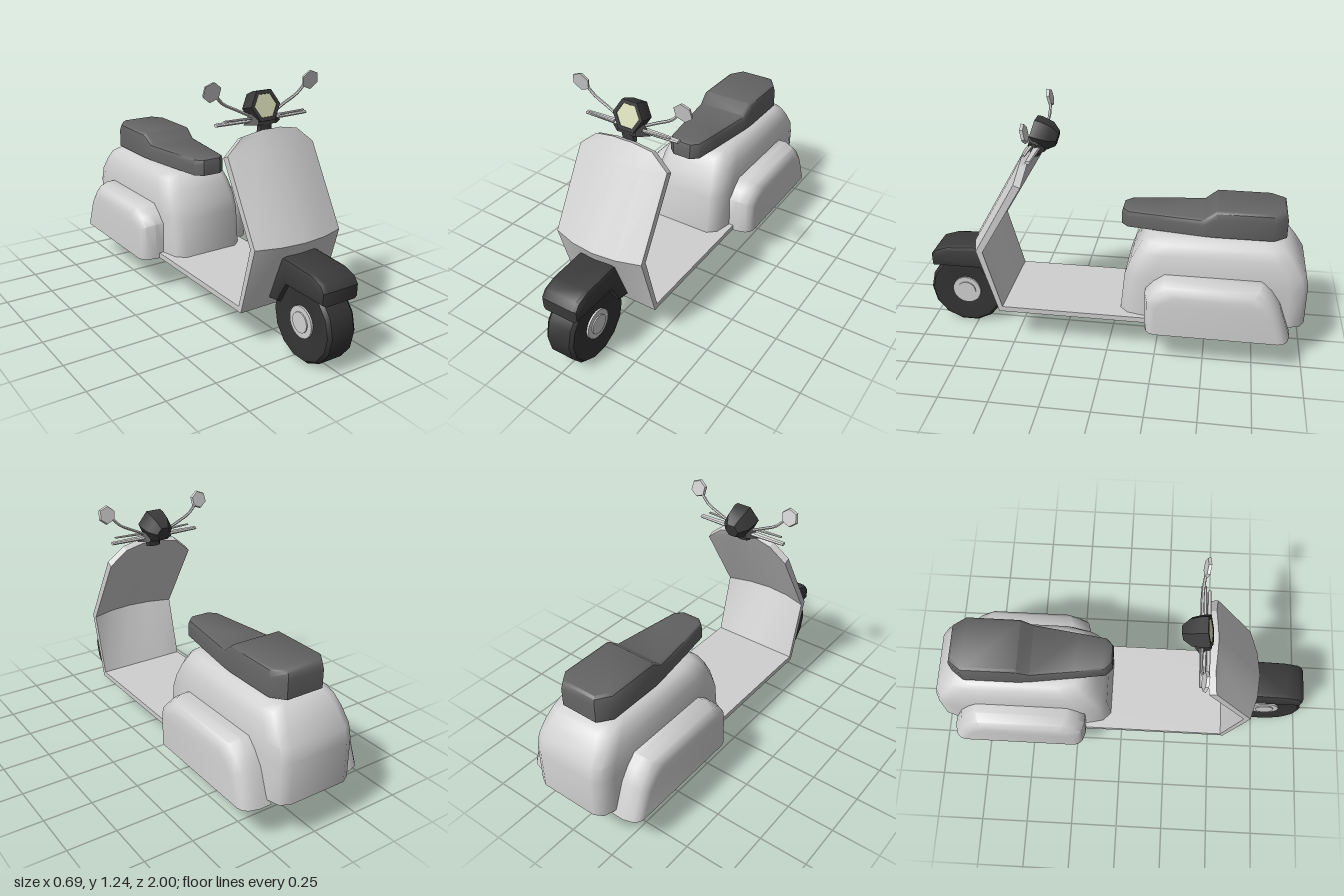
import * as THREE from 'three';
import { toCreasedNormals } from 'three/addons/utils/BufferGeometryUtils.js';

const mat = (name, color, side = THREE.FrontSide) => {
  const m = new THREE.MeshStandardMaterial({ color, side });
  m.name = name;
  return m;
};

// Skin a list of equal-length rings; caps join point i to point n-1-i.
function loft(rings, { wrap = true, capStart = false, capEnd = true } = {}) {
  const n = rings[0].length, idx = [];
  const quad = (a, b, c, d) => idx.push(a, b, c, a, c, d);
  for (let r = 0; r < rings.length - 1; r++) {
    for (let i = 0; i < (wrap ? n : n - 1); i++) {
      const j = (i + 1) % n;
      quad(r * n + i, r * n + j, (r + 1) * n + j, (r + 1) * n + i);
    }
  }
  const top = (rings.length - 1) * n;
  for (let i = 0; i < n / 2 - 1; i++) {
    if (capEnd) quad(top + i, top + i + 1, top + n - 2 - i, top + n - 1 - i);
    if (capStart) quad(n - 1 - i, n - 2 - i, i + 1, i);
  }
  const g = new THREE.BufferGeometry();
  g.setAttribute('position', new THREE.Float32BufferAttribute(rings.flat(2), 3));
  g.setIndex(idx);
  return g;
}

// Complete a half ring with its x-mirrored points.
const mirrored = half => [...half, ...half.map(([x, y, z]) => [-x, y, z]).reverse()];

export function createModel() {
  const root = new THREE.Group();
  root.name = 'scooter';
  const paint = mat('bodyPaint', 0xd0d0d0, THREE.DoubleSide);
  const metal = mat('brightMetal', 0xd2d2d2);
  const rubber = mat('blackRubber', 0x343434);
  const trim = mat('darkTrim', 0x3a3a3a);
  const leather = mat('seatLeather', 0x646464, THREE.DoubleSide);
  const glass = mat('lampGlass', 0xdcdfba);

  const add = (name, geo, material, parent = root, crease = 0.6) => {
    const m = new THREE.Mesh(toCreasedNormals(geo, crease), material);
    m.name = name;
    parent.add(m);
    return m;
  };

  // Rear body: rounded shell, open below
  const body = [
    [0.22, -0.06, -1.0, 0.22], [0.43, -0.08, -1.0, 0.22], [0.5, -0.105, -0.985, 0.217],
    [0.57, -0.14, -0.94, 0.207], [0.625, -0.175, -0.9, 0.19], [0.65, -0.205, -0.86, 0.165],
    [0.662, -0.25, -0.81, 0.135],
  ].map(([y, zf, zb, w]) => mirrored([
    [w - 0.065, y, zf], [w - 0.02, y, zf - 0.04], [w, y, zf - 0.13],
    [w, y, zb + 0.09], [w - 0.02, y, zb + 0.025], [w - 0.065, y, zb],
  ]));
  add('rearBody', loft(body), paint, root, 0.8);

  // Side pods
  const podFront = [[0.195, -0.195], [0.39, -0.195], [0.435, -0.235], [0.475, -0.29]];
  const podBack = [[0.475, -0.77], [0.43, -0.82], [0.365, -0.865], [0.195, -0.925]];
  for (const s of [1, -1]) {
    const rings = [[0.2, 0], [0.265, 0], [0.315, 0.015], [0.335, 0.035], [0.343, 0.06]].map(([x, d]) => {
      const y = v => 0.195 + (v - 0.195) * (1 - d / 0.28);
      return [
        ...podFront.map(([v, z]) => [s * x, y(v), z - d]),
        ...podBack.map(([v, z]) => [s * x, y(v), z + d]),
      ];
    });
    add(s > 0 ? 'leftPod' : 'rightPod', loft(rings, { wrap: false }), paint, root, 0.75);
  }

  // Floorboard and bowed leg shield as one bent plate:
  // front z, front y, back z, back y, half width, bow
  const cols = [-1, -0.5, 0, 0.5, 1];
  const plate = [
    [-0.25, 0.197, -0.25, 0.225, 0.245, 0], [0.57, 0.197, 0.552, 0.225, 0.245, 0],
    [0.722, 0.545, 0.688, 0.54, 0.245, 0.05], [0.506, 0.925, 0.472, 0.91, 0.245, 0.05],
    [0.463, 1.0, 0.429, 0.985, 0.155, 0.05], [0.452, 1.02, 0.418, 1.005, 0.05, 0.05],
  ].map(([fz, fy, bz, by, w, bow]) => {
    const line = (z, y) => cols.map(c => [c * w, y, z - bow * (c * w / 0.245) ** 2]);
    return [...line(fz, fy), ...line(bz, by).reverse()];
  });
  add('legShieldAndFloor', loft(plate, { capStart: true }), paint, root, 0.45);

  // Stepped saddle
  const outline = [[0.05, -0.05], [0.088, -0.085], [0.108, -0.22], [0.143, -0.465],
    [0.15, -0.53], [0.15, -0.81], [0.1, -0.877]];
  const seat = [[0, 0.87], [0.025, 1], [0.7, 1], [0.93, 0.95], [1, 0.86]].map(([t, k]) =>
    mirrored(outline.map(([x, z]) => {
      const h = z > -0.5 ? 0.752 : 0.8;
      return [x * k, 0.662 + (h - 0.662) * t, -0.46 + (z + 0.46) * (0.7 + 0.3 * k)];
    })));
  add('seat', loft(seat, { capStart: true }), leather, root, 0.7);

  // Wheels
  const wheel = (name, y, z, r, hubR) => {
    const g = new THREE.Group();
    g.name = name;
    g.position.set(0, y, z);
    g.rotation.z = Math.PI / 2;
    root.add(g);
    const half = [[0, 0.068], [hubR, 0.068], [r * 0.78, 0.08], [r * 0.93, 0.078], [r, 0.062]];
    const profile = [...half.map(([a, w]) => new THREE.Vector2(a, -w)),
      ...half.reverse().map(([a, w]) => new THREE.Vector2(a, w))];
    add('tyre', new THREE.LatheGeometry(profile, 14), rubber, g, 0.65);
    add('hub', new THREE.CylinderGeometry(hubR, hubR, 0.156, 24), metal, g);
    add('hubCap', new THREE.CylinderGeometry(hubR * 0.65, hubR * 0.65, 0.168, 20), metal, g);
  };
  wheel('frontWheel', 0.205, 0.8, 0.2, 0.077);
  wheel('rearWheel', 0.22, -0.59, 0.194, 0.108);

  // Front fender
  const side = new THREE.Shape([[0.58, 0.243], [0.655, 0.25], [0.715, 0.355], [0.975, 0.355],
    [0.977, 0.42], [0.95, 0.455], [0.88, 0.478], [0.7, 0.488], [0.67, 0.488]]
    .map(p => new THREE.Vector2(...p)));
  const fender = new THREE.ExtrudeGeometry(side, {
    depth: 0.16, bevelThickness: 0.025, bevelSize: 0.025, bevelOffset: -0.025, bevelSegments: 2,
  });
  fender.translate(0, 0, -0.08).rotateY(-Math.PI / 2);
  add('frontFender', fender, trim, root, 0.6);

  // Headlamp
  const lamp = new THREE.Group();
  lamp.name = 'headlamp';
  lamp.position.set(0, 1.103, 0.35);
  lamp.rotation.x = -0.27;
  root.add(lamp);
  const shell = [[0, -0.075], [0.04, -0.072], [0.074, -0.03], [0.084, 0.03], [0.082, 0.058],
    [0.062, 0.058], [0.058, 0.05], [0, 0.05]].map(p => new THREE.Vector2(...p));
  add('lampShell', new THREE.LatheGeometry(shell, 6, Math.PI / 6).rotateX(Math.PI / 2), trim, lamp, 0.5);
  add('lampLens', new THREE.CircleGeometry(0.061, 6).translate(0, 0, 0.056), glass, lamp);

  // Steering neck and clamp
  add('steeringNeck', new THREE.CylinderGeometry(0.042, 0.042, 0.06, 8).scale(1, 1, 0.55)
    .translate(0, 1.025, 0.395), trim);
  add('handlebarClamp', new THREE.CylinderGeometry(0.075, 0.105, 0.05, 6).rotateY(Math.PI / 6)
    .scale(1, 1, 0.45).translate(0, 1.057, 0.378), trim);

  // Handles, levers and mirrors on both sides
  for (const s of [1, -1]) {
    const g = new THREE.Group();
    g.name = s > 0 ? 'leftControls' : 'rightControls';
    root.add(g);
    const bar = (r1, r2, x1, x2, flat, y, z, tilt) => new THREE.CylinderGeometry(r1, r2, x2 - x1, 8)
      .rotateZ(-s * Math.PI / 2).scale(1, flat, 1).rotateZ(s * tilt)
      .translate(s * (x1 + x2) / 2, y, z);
    add('handle', bar(0.014, 0.019, 0.07, 0.256, 0.6, 1.051, 0.375, 0), metal, g);
    add('lever', bar(0.007, 0.01, 0.08, 0.225, 0.6, 1.068, 0.4, 0.03), metal, g);
    const stem = new THREE.CatmullRomCurve3([[0.075, 1.075, 0.37], [0.14, 1.107, 0.365],
      [0.21, 1.142, 0.365], [0.25, 1.182, 0.37]]
      .map(([x, y, z]) => new THREE.Vector3(s * x, y, z)));
    add('mirrorStem', new THREE.TubeGeometry(stem, 8, 0.0075, 6), metal, g);
    const mirror = add('mirror', new THREE.CylinderGeometry(0.049, 0.044, 0.014, 6)
      .rotateX(Math.PI / 2), metal, g, 0.3);
    mirror.position.set(s * 0.279, 1.206, 0.376);
    mirror.rotation.set(0.2, 0, s * 0.15);
  }
  return root;
}
